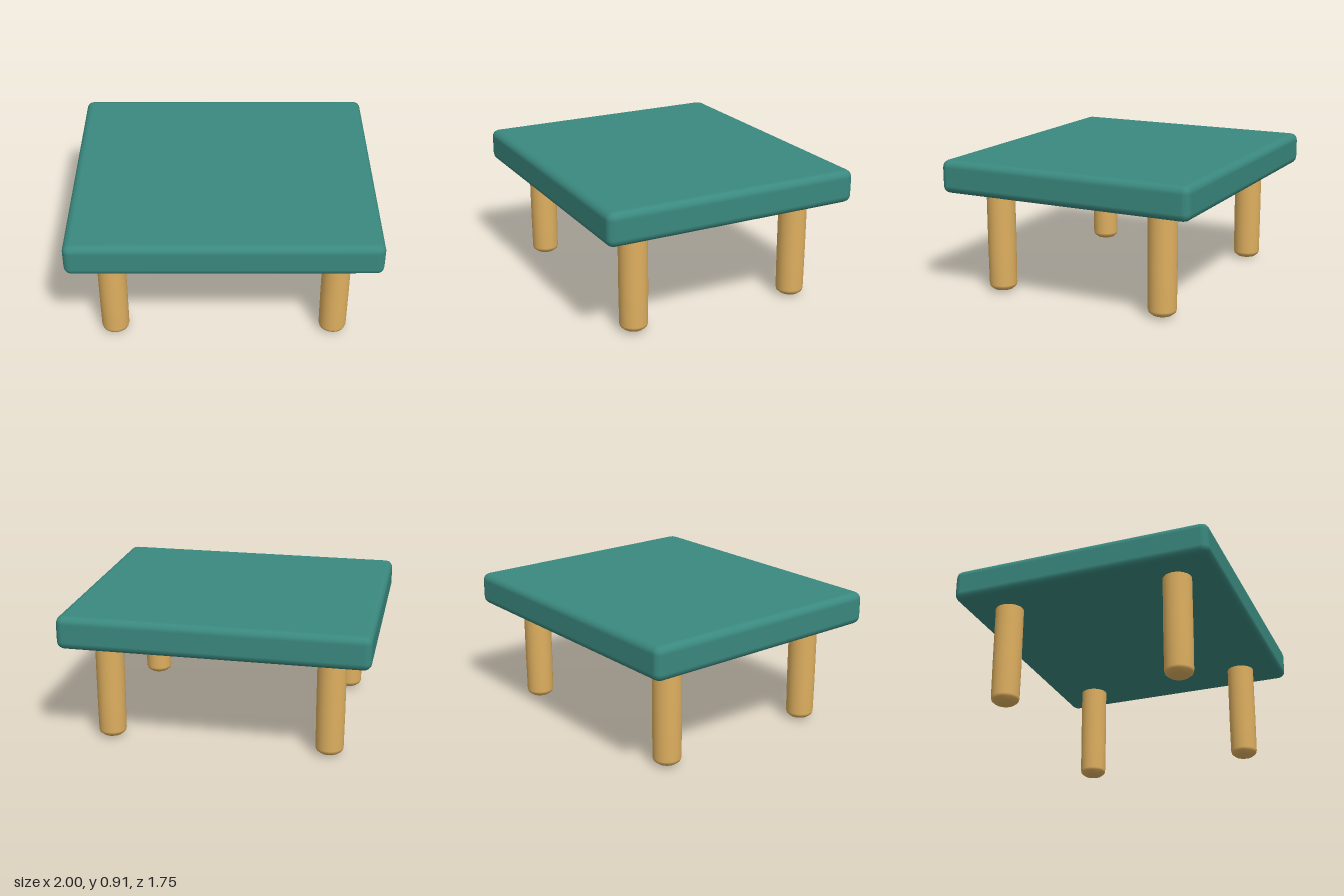
import * as THREE from 'three';
import { RoundedBoxGeometry } from 'three/addons/geometries/RoundedBoxGeometry.js';

export function createModel() {
  const model = new THREE.Group();
  model.name = 'table';

  const teal = new THREE.MeshStandardMaterial({ color: 0x3a897f });
  teal.name = 'teal';
  const wood = new THREE.MeshStandardMaterial({ color: 0xdfb060 });
  wood.name = 'wood';

  // Thick slab with softly rounded edges
  const top = new THREE.Mesh(new RoundedBoxGeometry(2, 0.22, 1.75, 2, 0.05), teal);
  top.name = 'tableTop';
  top.position.y = 0.8;
  model.add(top);

  // Round leg with a shallow domed foot, reaching just into the slab
  const profile = [
    [0, 0], [0.035, 0.004], [0.065, 0.014], [0.087, 0.032],
    [0.092, 0.05], [0.094, 0.3], [0.094, 0.7],
  ].map(([r, y]) => new THREE.Vector2(r, y));
  const legGeometry = new THREE.LatheGeometry(profile, 24);

  for (const [side, x] of [['Left', 0.733], ['Right', -0.733]]) {
    for (const [end, z] of [['front', 0.59], ['back', -0.59]]) {
      const leg = new THREE.Mesh(legGeometry, wood);
      leg.name = `${end}${side}Leg`;
      leg.position.set(x, 0, z);
      model.add(leg);
    }
  }

  return model;
}
